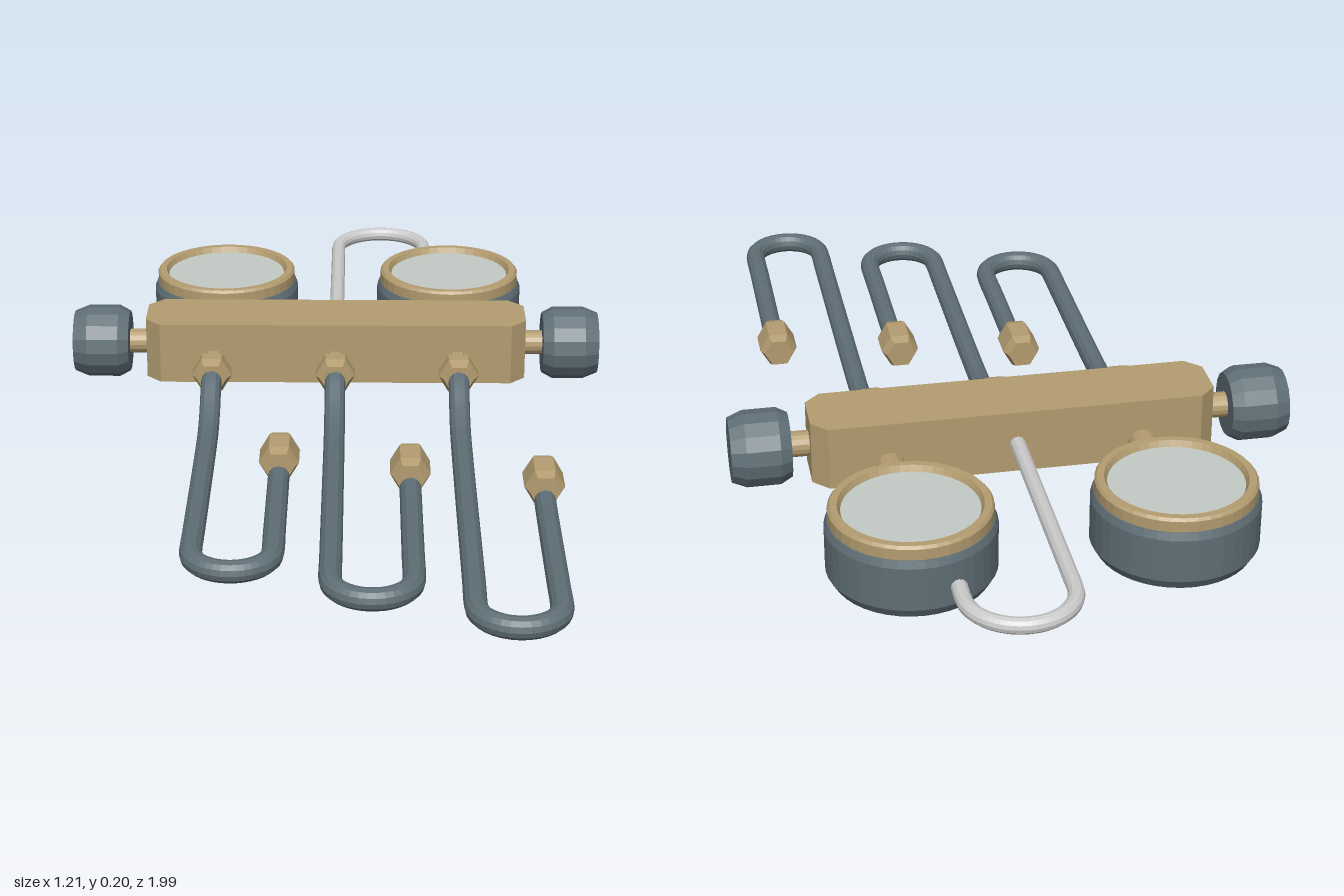
import * as THREE from 'three';

const CX = -0.003; // centre line of the manifold
const BAR_Y = 0.115, BAR_Z = -0.23;

const paint = (color) => new THREE.MeshStandardMaterial({ color, flatShading: true });

export function createModel() {
  const model = new THREE.Group();
  const brass = paint(0xb39c70), rubber = paint(0x5f6f76), glass = paint(0xc3cac5), steel = paint(0xcccccc);

  const add = (name, geometry, material, x = 0, y = 0, z = 0) => {
    const mesh = new THREE.Mesh(geometry, material);
    mesh.name = name;
    mesh.position.set(x, y, z);
    model.add(mesh);
    return mesh;
  };

  // Turned part from [radius, distance] pairs along an axis
  const turned = (name, profile, sides, material, [x, y, z], axis = 'y', dir = 1) => {
    const g = new THREE.LatheGeometry(profile.map(([r, h]) => new THREE.Vector2(r, h)), sides);
    if (sides === 6) g.rotateY(Math.PI / 6);
    if (axis === 'z') g.rotateX(Math.PI / 2 * dir);
    if (axis === 'x') g.rotateZ(-Math.PI / 2 * dir);
    return add(name, g, material, x, y, z);
  };

  const bentTube = (name, points, radius, segments, material) => {
    const path = new THREE.CatmullRomCurve3(points.map((p) => new THREE.Vector3(...p)), false, 'centripetal');
    return add(name, new THREE.TubeGeometry(path, segments, radius, 12), material);
  };

  // Half-circle points in plan; side = +1 bends to the front, -1 to the back
  const bend = (cx, y, cz, r, side) => Array.from({ length: 13 }, (_, i) => {
    const a = Math.PI * (1 - i / 12);
    return [cx + r * Math.cos(a), y, cz + side * r * Math.sin(a)];
  });

  // Manifold block with cut corners
  const w = 0.438, d = 0.081, c = 0.034;
  const plan = new THREE.Shape([
    [-w + c, -d], [w - c, -d], [w, -d + c], [w, d - c],
    [w - c, d], [-w + c, d], [-w, d - c], [-w, -d + c],
  ].map(([x, z]) => new THREE.Vector2(x, z)));
  const block = new THREE.ExtrudeGeometry(plan, { depth: 0.142, bevelEnabled: false });
  block.rotateX(-Math.PI / 2);
  add('manifoldBlock', block, brass, CX, 0.045, BAR_Z);

  for (const side of [-1, 1]) {
    const label = side > 0 ? 'left' : 'right';

    // Valve stem and hand knob
    const at = [CX, BAR_Y, BAR_Z];
    turned(label + 'ValveStem', [[0.028, 0.42], [0.028, 0.49]], 16, brass, at, 'x', side);
    turned(label + 'Knob', [[0, 0.479], [0.07, 0.479], [0.083, 0.503], [0.083, 0.575], [0.07, 0.607], [0, 0.607]],
      16, rubber, at, 'x', side);

    // Gauge: connector, case, bezel ring and recessed glass
    const gx = CX + side * 0.274, gz = -0.59;
    turned(label + 'GaugeConnector', [[0.032, 0], [0.032, 0.16]], 16, brass, [gx, 0.086, -0.45], 'z');
    turned(label + 'GaugeCase', [[0, 0], [0.163, 0], [0.176, 0.022], [0.176, 0.118], [0.17, 0.134], [0.14, 0.134]],
      40, rubber, [gx, 0, gz]);
    turned(label + 'GaugeBezel', [[0.168, 0.13], [0.168, 0.158], [0.163, 0.164], [0.148, 0.164], [0.14, 0.148]],
      40, brass, [gx, 0, gz]);
    const dial = new THREE.CircleGeometry(0.143, 40);
    dial.rotateX(-Math.PI / 2);
    add(label + 'GaugeGlass', dial, glass, gx, 0.151, gz);
  }

  // Hoses with hexagonal fittings: x, far end of loop, near end of free nut
  const hoses = [[-0.28, 0.775, 0.205], [0, 0.885, 0.258], [0.28, 0.993, 0.316]];
  const low = 0.0275, radius = 0.0232, loop = 0.082;
  hoses.forEach(([offset, far, nutZ], i) => {
    const x = CX + offset, back = x + 2 * loop, zc = far - radius - loop;
    turned('hoseNeck' + i, [[0.026, -0.16], [0.026, -0.1]], 6, brass, [x, 0.1, 0], 'z');
    turned('hoseNut' + i, [[0, -0.108], [0.036, -0.108], [0.045, -0.094], [0.045, -0.062], [0.034, -0.04], [0, -0.04]],
      6, brass, [x, 0.1, 0], 'z');
    bentTube('hose' + i, [
      [x, 0.1, -0.07], [x, 0.093, -0.035], [x, 0.052, 0.035], [x, 0.034, 0.085], [x, low, 0.14], [x, low, zc - 0.1],
      ...bend(x + loop, low, zc, loop, 1),
      [back, low, zc - 0.1], [back, low, nutZ + 0.12], [back, low + 0.008, nutZ + 0.05],
    ], radius, 110, rubber);
    turned('freeNut' + i, [[0, 0], [0.034, 0], [0.043, 0.022], [0.043, 0.09], [0.034, 0.113], [0, 0.113]],
      6, brass, [back, 0.049, nutZ], 'z');
  });

  // Hanging hook
  const hr = 0.109, hy = 0.112, hz = -0.874;
  bentTube('hangingHook', [
    [CX, hy, -0.3], [CX, hy, -0.6], [CX, hy, hz + 0.05],
    ...bend(CX + hr, hy, hz, hr, -1),
    [CX + 2 * hr, hy, -0.83],
  ], 0.017, 90, steel);
  add('hookEnd', new THREE.CircleGeometry(0.017, 12), steel, CX + 2 * hr, hy, -0.83);

  return model;
}
